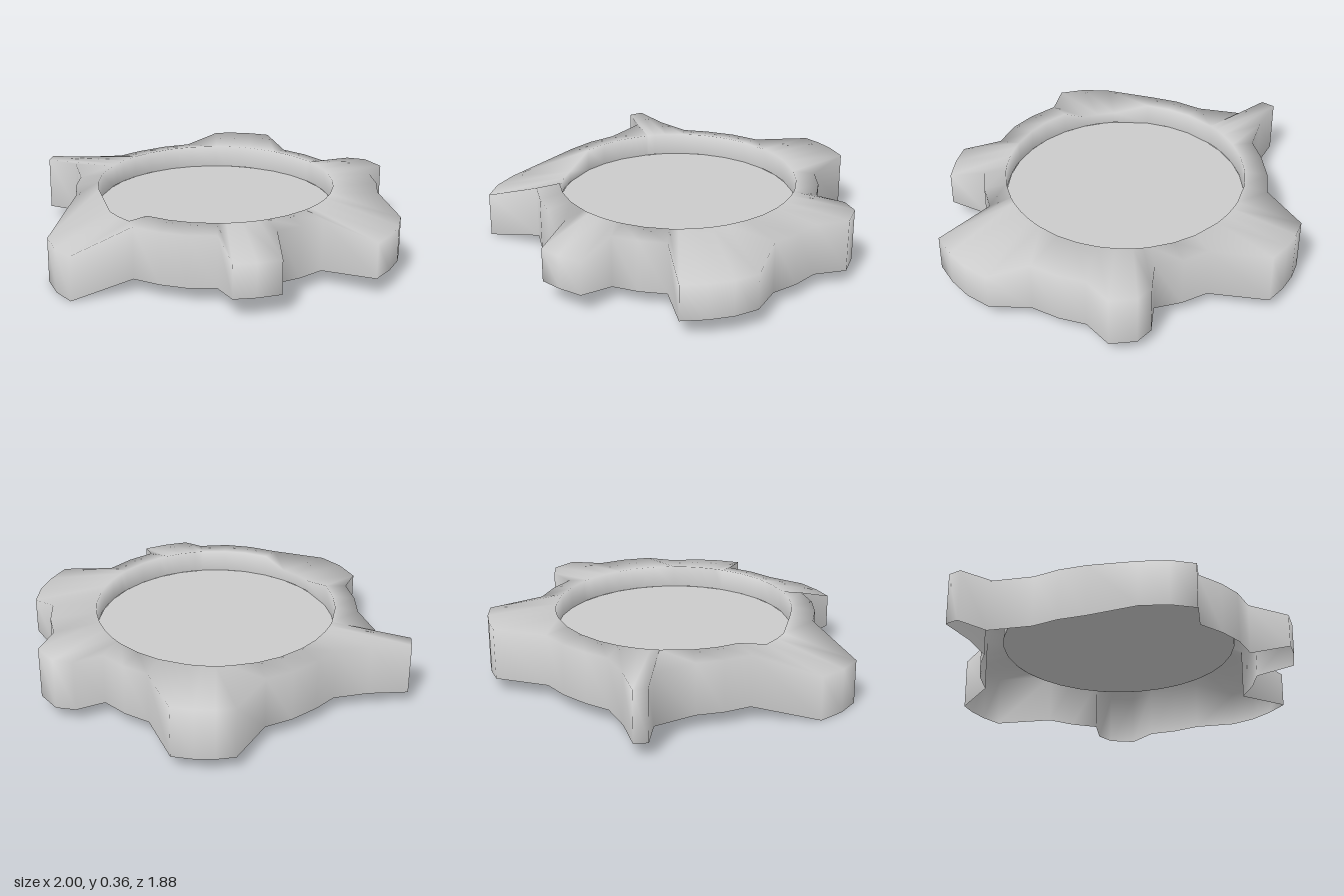
import * as THREE from 'three';

const CX = -0.007, CZ = -0.055, R = 0.61;   // centre and radius of the round opening
const RIM_Y = 0.36, FLOOR_Y = 0.244, TOP = 0.34, BASE = 0.07;

// Outer outline [x, z, top, bottom, rim height], counter-clockwise from the front lobe
const outline = [
  [-0.27, 0.86, 0.23, 0, 0.305], [-0.14, 0.92, 0.23, 0, 0.305], [-0.01, 0.94, 0.23, 0, 0.305],
  [0.13, 0.66], [0.27, 0.62], [0.39, 0.56], [0.5, 0.46],
  [0.68, 0.55, 0.275, 0.1], [0.75, 0.46, 0.275, 0.1], [0.81, 0.35, 0.275, 0.1],
  [0.66, 0.22], [0.7, 0.09], [0.715, -0.05],
  [1, -0.12, 0.275, 0.09], [0.98, -0.25, 0.275, 0.09], [0.94, -0.37, 0.275, 0.09], [0.87, -0.48, 0.275, 0.09],
  [0.67, -0.55], [0.58, -0.66], [0.47, -0.75],
  [0.42, -0.91], [0.29, -0.945], [0.2, -0.9],
  [0.13, -0.765], [-0.01, -0.78], [-0.15, -0.765],
  [-0.41, -0.92], [-0.51, -0.87], [-0.59, -0.81], [-0.655, -0.74],
  [-0.615, -0.46], [-0.68, -0.33], [-0.72, -0.18], [-0.735, -0.05],
  [-0.85, 0.09], [-1, 0.22], [-0.96, 0.28], [-0.8, 0.225],
  [-0.61, 0.35], [-0.52, 0.46], [-0.41, 0.55],
];

// Smooth sheet swept round the outline: floor edge, rim, outer edge, skirt foot
function shellGeometry() {
  const positions = [], index = [], n = outline.length, rings = 4;
  for (const [x, z, top = TOP, bottom = BASE, rim = RIM_Y] of outline) {
    const a = Math.atan2(x - CX, z - CZ);
    const rx = CX + R * Math.sin(a), rz = CZ + R * Math.cos(a);
    positions.push(rx, FLOOR_Y, rz, rx, rim, rz, x, top, z, x, bottom, z);
  }
  for (let k = 0; k < n; k++) {
    for (let j = 0; j < rings - 1; j++) {
      const a = k * rings + j, d = ((k + 1) % n) * rings + j;
      index.push(a, a + 1, d + 1, a, d + 1, d);
    }
  }
  const g = new THREE.BufferGeometry();
  g.setAttribute('position', new THREE.Float32BufferAttribute(positions, 3));
  g.setIndex(index);
  g.computeVertexNormals();
  return g;
}

export function createModel() {
  const group = new THREE.Group();
  const material = new THREE.MeshStandardMaterial({ color: 0xcccccc, side: THREE.DoubleSide });

  // Lobed shell with the wall of the opening, open underneath
  const shell = new THREE.Mesh(shellGeometry(), material);
  shell.name = 'lobedShell';

  // Flat round floor
  const floor = new THREE.Mesh(new THREE.CircleGeometry(R, 32), material);
  floor.name = 'floorDisc';
  floor.rotation.x = -Math.PI / 2;
  floor.position.set(CX, FLOOR_Y, CZ);

  group.add(shell, floor);
  return group;
}
